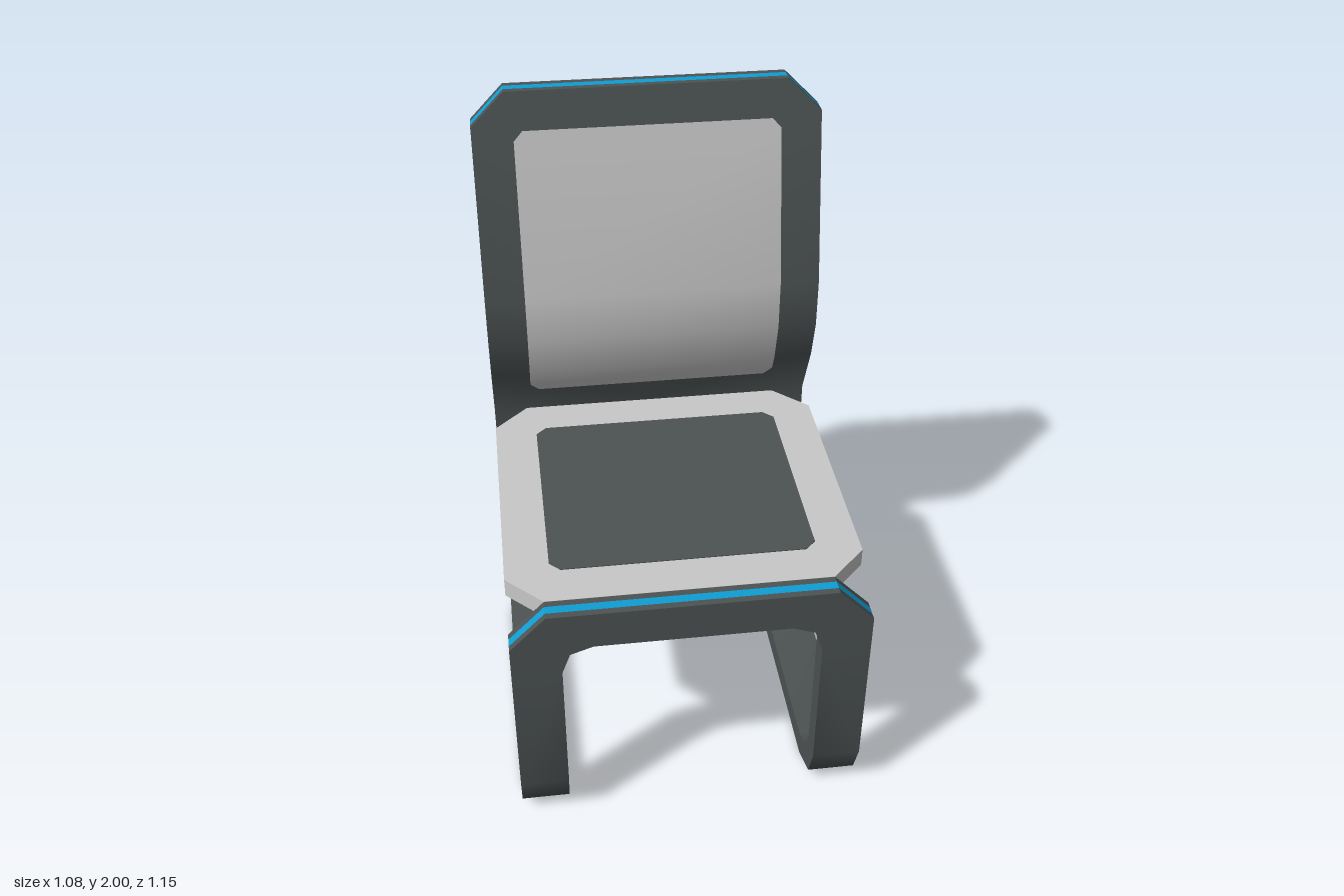
import * as THREE from 'three';
import { toCreasedNormals } from 'three/addons/utils/BufferGeometryUtils.js';

const mat = (name, color) => new THREE.MeshStandardMaterial({ name, color });

// Collects quads into one mesh; normals are smooth below the crease angle.
class Surface {
  constructor(name, material, crease) {
    Object.assign(this, { name, material, crease, positions: [] });
  }
  quad(a, b, c, d, flip = false) {
    const corners = flip ? [a, c, b, a, d, c] : [a, b, c, a, c, d];
    for (const p of corners) this.positions.push(...p);
  }
  mesh() {
    const g = new THREE.BufferGeometry();
    g.setAttribute('position', new THREE.Float32BufferAttribute(this.positions, 3));
    const m = new THREE.Mesh(toCreasedNormals(g, this.crease), this.material);
    m.name = this.name;
    return m;
  }
}

// Rectangle with cut corners, lying flat with its underside at height y.
function cutPlate(name, material, hx, hz, cut, y, thickness) {
  const s = new THREE.Shape([
    [hx, -hz + cut], [hx, hz - cut], [hx - cut, hz], [-hx + cut, hz],
    [-hx, hz - cut], [-hx, -hz + cut], [-hx + cut, -hz], [hx - cut, -hz],
  ].map(([x, z]) => new THREE.Vector2(x, z)));
  const g = new THREE.ExtrudeGeometry(s, { depth: thickness, bevelEnabled: false });
  g.rotateX(-Math.PI / 2);
  const m = new THREE.Mesh(g, material);
  m.name = name;
  m.position.y = y;
  return m;
}

export function createModel() {
  const model = new THREE.Group();
  model.name = 'chair';
  const dark = mat('charcoal', 0x4d5353);
  const light = mat('lightGrey', 0xc8c8c8);
  const blue = mat('blue', 0x0f9dd3);

  // Stations along the bent sheet:
  // [outer z, outer y, inner z, inner y, half width, half opening]
  const gap = 0.39, w = 0.54, f = 0.575, fi = 0.503, b = -0.573, bi = -0.502;
  const level = (zo, zi, y, half, open) => [zo, y, zi, y, half, open];
  const stations = [
    // front panel and legs
    level(f, fi, 0.86, 0.43, 0),
    level(f, fi, 0.745, w, 0),
    level(f, fi, 0.735, w, 0),
    level(f, fi, 0.735, w, 0.295),
    level(f, fi, 0.71, w, 0.365),
    level(f, fi, 0.64, w, gap),
    // runners on the floor
    [f, 0.17, fi, 0.19, w, gap],
    [0.53, 0.055, 0.475, 0.108, w, gap],
    [0.405, 0, 0.39, 0.077, w, gap],
    [-0.405, 0, -0.39, 0.077, w, gap],
    [-0.528, 0.055, -0.474, 0.108, w, gap],
    [b, 0.17, bi, 0.19, w, gap],
    // back legs
    level(b, bi, 0.64, w, gap),
    level(b, bi, 0.71, w, 0.365),
    level(b, bi, 0.735, w, 0.295),
    level(b, bi, 0.735, w, 0),
    // backrest
    [b, 0.855, bi, 0.87, w, 0],
    [-0.48, 1.05, -0.41, 1.06, w, 0],
    [-0.44, 1.2, -0.371, 1.2, w, 0],
    [-0.44, 1.35, -0.371, 1.36, w, 0],
    [-0.554, 1.9, -0.484, 1.9, w, 0],
    [-0.575, 2, -0.505, 2, 0.435, 0],
  ];

  const sheet = new Surface('frameSheet', dark, 1.0);
  const rim = new Surface('frameRim', dark, 0.3);
  const stripe = new Surface('rimStripe', blue, 0.3);

  // Point at x, a fraction t of the way from the outer to the inner face.
  const at = (s, x, t) => [x, s[1] + (s[3] - s[1]) * t, s[0] + (s[2] - s[0]) * t];
  const bands = [[0, 0.3, rim], [0.3, 0.7, stripe], [0.7, 1, rim]];

  for (const side of [1, -1]) {
    const flip = side < 0;
    for (let i = 0; i < stations.length - 1; i++) {
      const p = stations[i], q = stations[i + 1];
      const px = side * p[4], qx = side * q[4], po = side * p[5], qo = side * q[5];
      if (p[0] !== q[0] || p[1] !== q[1]) {
        sheet.quad(at(p, po, 0), at(q, qo, 0), at(q, qx, 0), at(p, px, 0), flip);
        sheet.quad(at(p, po, 1), at(q, qo, 1), at(q, qx, 1), at(p, px, 1), !flip);
        // outer rim with its stripe
        for (const [t, u, surface] of bands)
          surface.quad(at(p, px, t), at(q, qx, t), at(q, qx, u), at(p, px, u), flip);
      }
      // walls of the opening between the legs
      if (po || qo) rim.quad(at(p, po, 0), at(q, qo, 0), at(q, qo, 1), at(p, po, 1), !flip);
    }
    // top edges of the front panel and backrest
    for (const [s, end] of [[stations[0], false], [stations.at(-1), true]]) {
      const x = side * s[4];
      for (const [t, u, surface] of bands)
        surface.quad(at(s, 0, t), at(s, x, t), at(s, x, u), at(s, 0, u), flip !== end);
    }
  }
  model.add(sheet.mesh(), rim.mesh(), stripe.mesh());

  // Seat board and its inlay
  model.add(cutPlate('seat', light, 0.54, 0.502, 0.11, 0.8, 0.06));
  model.add(cutPlate('seatInlay', dark, 0.405, 0.368, 0.033, 0.857, 0.006));

  // Backrest pad following the curve of the sheet: [y, z, half width]
  const pad = new Surface('backrestPad', light, 1.0);
  const rows = [
    [0.97, -0.452, 0.385], [1.0, -0.438, 0.413], [1.06, -0.41, 0.413],
    [1.2, -0.371, 0.413], [1.36, -0.371, 0.413], [1.855, -0.4746, 0.413], [1.885, -0.481, 0.385],
  ];
  const lift = 0.005;
  for (let i = 0; i < rows.length - 1; i++) {
    const [y0, z0, x0] = rows[i], [y1, z1, x1] = rows[i + 1];
    pad.quad([-x0, y0, z0 + lift], [x0, y0, z0 + lift], [x1, y1, z1 + lift], [-x1, y1, z1 + lift]);
  }
  model.add(pad.mesh());
  return model;
}
